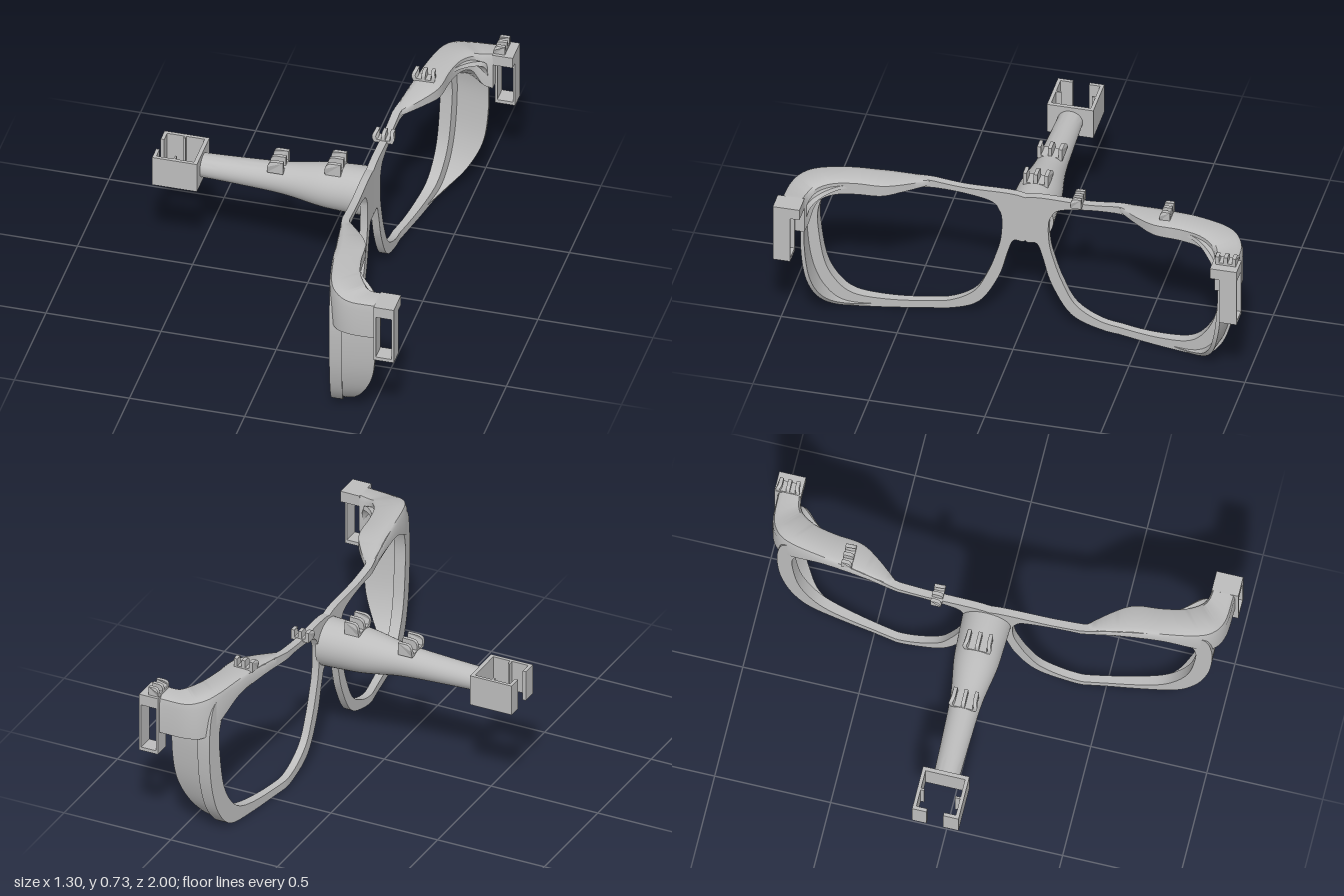
import * as THREE from 'three';
import { toCreasedNormals } from 'three/addons/utils/BufferGeometryUtils.js';

const plastic = new THREE.MeshStandardMaterial({ color: 0xbdbdbd });
plastic.name = 'grey plastic';

function part(name, geometry) {
  const mesh = new THREE.Mesh(geometry, plastic);
  mesh.name = name;
  return mesh;
}

// Skin a row of equal-length rings; winding is turned outward by the signed volume.
function loft(rings, closed = false, crease = 0.7) {
  const n = rings[0].length, m = rings.length, idx = [];
  const pos = rings.flat(2);
  for (let i = 0; i < (closed ? m : m - 1); i++) {
    for (let j = 0; j < n; j++) {
      const a = i * n + j, b = i * n + (j + 1) % n;
      const k = ((i + 1) % m) * n, c = k + j, d = k + (j + 1) % n;
      idx.push(a, c, b, b, c, d);
    }
  }
  if (!closed) {
    const e = (m - 1) * n;
    for (let j = 1; j < n - 1; j++) idx.push(0, j, j + 1, e, e + j + 1, e + j);
  }
  let volume = 0;
  const P = (i) => new THREE.Vector3(pos[i * 3], pos[i * 3 + 1], pos[i * 3 + 2]);
  for (let i = 0; i < idx.length; i += 3) volume += P(idx[i]).dot(P(idx[i + 1]).cross(P(idx[i + 2])));
  if (volume < 0) idx.reverse();
  const g = new THREE.BufferGeometry();
  g.setAttribute('position', new THREE.Float32BufferAttribute(pos, 3));
  g.setIndex(idx);
  return toCreasedNormals(g, crease);
}

// Piecewise linear lookup in [[key, value], ...]
function lookup(table, v) {
  for (let i = 1; i < table.length; i++) {
    if (v <= table[i][0]) {
      const [a, p] = table[i - 1], [b, q] = table[i];
      return p + (q - p) * Math.max(0, (v - a) / (b - a));
    }
  }
  return table[table.length - 1][1];
}
const frontX = (z) => lookup([[0, 0.255], [0.4, 0.258], [0.5, 0.277], [0.65, 0.3], [0.85, 0.333], [0.94, 0.35]], z);
const backX = (z) => frontX(z) + lookup([[0, 0.032], [0.5, 0.034], [0.94, 0.056]], z);

// Rim outline as [inner z, inner y, outer z, outer y], starting over the bridge
const rimPoints = [
  [0.15, 0.595, 0, 0.635], [0.29, 0.62, 0.27, 0.645], [0.45, 0.625, 0.45, 0.665], [0.61, 0.625, 0.62, 0.682],
  [0.75, 0.615, 0.78, 0.678], [0.83, 0.59, 0.9, 0.645], [0.868, 0.5, 0.935, 0.52], [0.865, 0.38, 0.935, 0.36],
  [0.84, 0.23, 0.915, 0.22], [0.79, 0.13, 0.87, 0.1], [0.72, 0.07, 0.79, 0.02], [0.6, 0.045, 0.65, 0.004],
  [0.45, 0.04, 0.45, 0.004], [0.33, 0.055, 0.33, 0.015], [0.22, 0.12, 0.2, 0.07], [0.16, 0.23, 0.115, 0.21],
  [0.125, 0.33, 0.075, 0.345], [0.105, 0.41, 0.05, 0.408], [0.1, 0.5, 0, 0.415], [0.11, 0.55, 0, 0.52],
];
const curve = (pts, closed) => new THREE.CatmullRomCurve3(pts, closed, 'catmullrom', 0.5);
const innerCurve = curve(rimPoints.map((p) => new THREE.Vector3(p[0], p[1], 0)), true);
const outerCurve = curve(rimPoints.map((p) => new THREE.Vector3(p[2], p[3], 0)), true);

function rim(s) {
  const rings = [];
  for (let i = 0; i < 120; i++) {
    const a = innerCurve.getPoint(i / 120), b = outerCurve.getPoint(i / 120);
    b.x = Math.max(0, b.x);
    b.y = Math.max(0, b.y);
    rings.push([
      [frontX(a.x), a.y, s * a.x], [frontX(b.x), b.y, s * b.x],
      [backX(b.x), b.y, s * b.x], [backX(a.x), a.y, s * a.x],
    ]);
  }
  return loft(rings, true);
}

// Thin wall running back from the outer side of the rim
function shield(s) {
  const depth = [0.315, 0.4, 0.44, 0.53, 0.54, 0.54, 0.522, 0.465, 0.39, 0.335];
  const depthCurve = curve(depth.map((d, i) => new THREE.Vector3(i, d, 0)), false);
  const rings = [];
  for (let i = 0; i <= 60; i++) {
    const u = (2 + (9 * i) / 60) / rimPoints.length;
    const a = innerCurve.getPoint(u), b = outerCurve.getPoint(u);
    const o = a.clone().lerp(b, 0.88), n = a.clone().lerp(b, 0.65);
    const x0 = backX(o.x) - 0.015, x1 = Math.max(x0 + 0.01, depthCurve.getPoint(i / 60).y);
    const inset = 0.15 * (x1 - x0);
    rings.push([
      [x0, o.y, s * o.x], [x1, o.y, s * (o.x - inset)],
      [x1, n.y, s * (n.x - inset)], [x0, n.y, s * n.x],
    ]);
  }
  return loft(rings);
}

// Brow that widens and bends back into the temple stub:
// [outer x, outer z, inner x, inner z, outer bottom, inner bottom, top]
function browArm(s) {
  const keys = [
    [0.262, 0.4, 0.285, 0.4, 0.635, 0.635, 0.658], [0.278, 0.52, 0.37, 0.51, 0.635, 0.635, 0.677],
    [0.293, 0.62, 0.413, 0.59, 0.63, 0.63, 0.688], [0.308, 0.74, 0.425, 0.7, 0.62, 0.63, 0.693],
    [0.334, 0.87, 0.445, 0.79, 0.55, 0.625, 0.691], [0.37, 0.94, 0.48, 0.85, 0.5, 0.6, 0.682],
    [0.44, 0.978, 0.52, 0.876, 0.497, 0.52, 0.668], [0.562, 0.985, 0.562, 0.885, 0.5, 0.5, 0.67],
  ];
  const tracks = [[0, 4, 1], [0, 6, 1], [2, 6, 3], [2, 5, 3]]
    .map((t) => curve(keys.map((k) => new THREE.Vector3(k[t[0]], k[t[1]], k[t[2]])), false));
  const rings = [];
  for (let i = 0; i <= 42; i++) {
    const [ob, ot, it, ib] = tracks.map((c) => c.getPoint(i / 42));
    const ring = [ob, ot.clone().lerp(ob, 0.22), ot.clone().lerp(ob, 0.06).lerp(it, 0.06),
      ot.clone().lerp(it, 0.22), it.clone().lerp(ot, 0.08), it.clone().lerp(ib, 0.12), ib];
    rings.push(ring.map((p) => [p.x, p.y, s * p.z]));
  }
  return loft(rings, false, 0.8);
}

// Central tapering stem: [x, centre y, y radius, z radius]
function stem() {
  const keys = [[-0.47, 0.515, 0.05, 0.054], [-0.28, 0.515, 0.058, 0.06], [-0.1, 0.515, 0.07, 0.069],
    [0.06, 0.515, 0.095, 0.094], [0.16, 0.516, 0.103, 0.1], [0.265, 0.518, 0.107, 0.105]];
  const size = curve(keys.map((k) => new THREE.Vector3(k[0], k[2], k[3])), false);
  const rings = [];
  for (let i = 0; i <= 30; i++) {
    const p = size.getPoint(i / 30);
    rings.push(Array.from({ length: 36 }, (_, j) => {
      const a = (j / 36) * Math.PI * 2;
      return [p.x, 0.516 + p.y * Math.sin(a), -0.012 + p.z * Math.cos(a)];
    }));
  }
  return loft(rings);
}

function shapeOf(points) {
  return new THREE.Shape(points.map((p) => new THREE.Vector2(...p)));
}

// C-shaped bracket with a slot at its outer end and two inner ribs
function bracket() {
  const outline = shapeOf([
    [-0.652, -0.112], [-0.457, -0.112], [-0.457, 0.088], [-0.652, 0.088], [-0.652, 0.022], [-0.637, 0.022],
    [-0.637, 0.073], [-0.562, 0.073], [-0.562, 0.05], [-0.554, 0.05], [-0.554, 0.073], [-0.474, 0.073],
    [-0.474, -0.097], [-0.554, -0.097], [-0.554, -0.082], [-0.562, -0.082], [-0.562, -0.097],
    [-0.637, -0.097], [-0.637, -0.05], [-0.652, -0.05],
  ]);
  const g = new THREE.ExtrudeGeometry(outline, { depth: 0.14, bevelEnabled: false });
  return g.rotateX(Math.PI / 2).translate(0, 0.585, 0);
}

// Cable clip of three fingers, bowed sideways, with one rounded shoulder
function cableClip(length, height, spread) {
  const group = new THREE.Group();
  group.name = 'cableClip';
  const h = length / 2;
  for (const side of [-1, 0, 1]) {
    const s = new THREE.Shape();
    s.moveTo(-h, 0);
    s.lineTo(h, 0);
    s.lineTo(h, height);
    s.lineTo(-h * 0.1, height);
    s.quadraticCurveTo(-h, height, -h, height * 0.4);
    s.closePath();
    const g = new THREE.ExtrudeGeometry(s, { depth: 0.016, bevelEnabled: false, curveSegments: 6 });
    const p = g.attributes.position;
    for (let i = 0; i < p.count; i++) {
      const t = p.getY(i) / height;
      p.setZ(i, p.getZ(i) - 0.008 + side * (spread + 0.032 * t * (1 - t)));
    }
    g.computeVertexNormals();
    group.add(part('clipFinger', g));
  }
  const base = part('clipBase', new THREE.BoxGeometry(length, 0.014, spread * 2 + 0.016));
  base.position.y = 0.006;
  group.add(base);
  return group;
}

// Hinge loop at the end of a temple stub, with a cap block on top
function hinge(s) {
  const group = new THREE.Group();
  group.name = s > 0 ? 'leftHinge' : 'rightHinge';
  const frame = shapeOf([[0.56, 0.4], [0.648, 0.4], [0.648, 0.67], [0.56, 0.67]]);
  frame.holes.push(shapeOf([[0.57, 0.416], [0.57, 0.62], [0.638, 0.62], [0.638, 0.416]]));
  const loop = part('hingeLoop', new THREE.ExtrudeGeometry(frame, { depth: 0.075, bevelEnabled: false }));
  loop.position.z = s > 0 ? 0.925 : -1;
  const cap = part('hingeCap', new THREE.BoxGeometry(0.088, 0.05, 0.115));
  cap.position.set(0.604, 0.645, s * 0.9425);
  group.add(loop, cap);
  return group;
}

export function createModel() {
  const model = new THREE.Group();
  model.name = 'glassesFrame';
  for (const s of [1, -1]) {
    const side = s > 0 ? 'left' : 'right';
    model.add(part(side + 'Rim', rim(s)), part(side + 'Shield', shield(s)),
      part(side + 'BrowArm', browArm(s)), hinge(s));
  }
  model.add(part('stem', stem()), part('bracket', bracket()));

  // Cable clips: [x, y, z, turn, length, height, spread]
  const clips = [
    [-0.13, 0.57, -0.012, 0, 0.068, 0.056, 0.046], [0.12, 0.605, -0.012, 0, 0.068, 0.058, 0.046],
    [0.272, 0.635, -0.225, Math.PI / 2, 0.046, 0.045, 0.033],
    [0.337, 0.684, -0.625, Math.PI / 2, 0.044, 0.046, 0.036],
    [0.586, 0.667, -0.943, 0, 0.048, 0.042, 0.036],
  ];
  for (const [x, y, z, turn, length, height, spread] of clips) {
    const clip = cableClip(length, height, spread);
    clip.position.set(x, y, z);
    clip.rotation.y = -turn * Math.sign(length);
    if (turn) clip.rotation.y = turn;
    model.add(clip);
  }
  return model;
}
